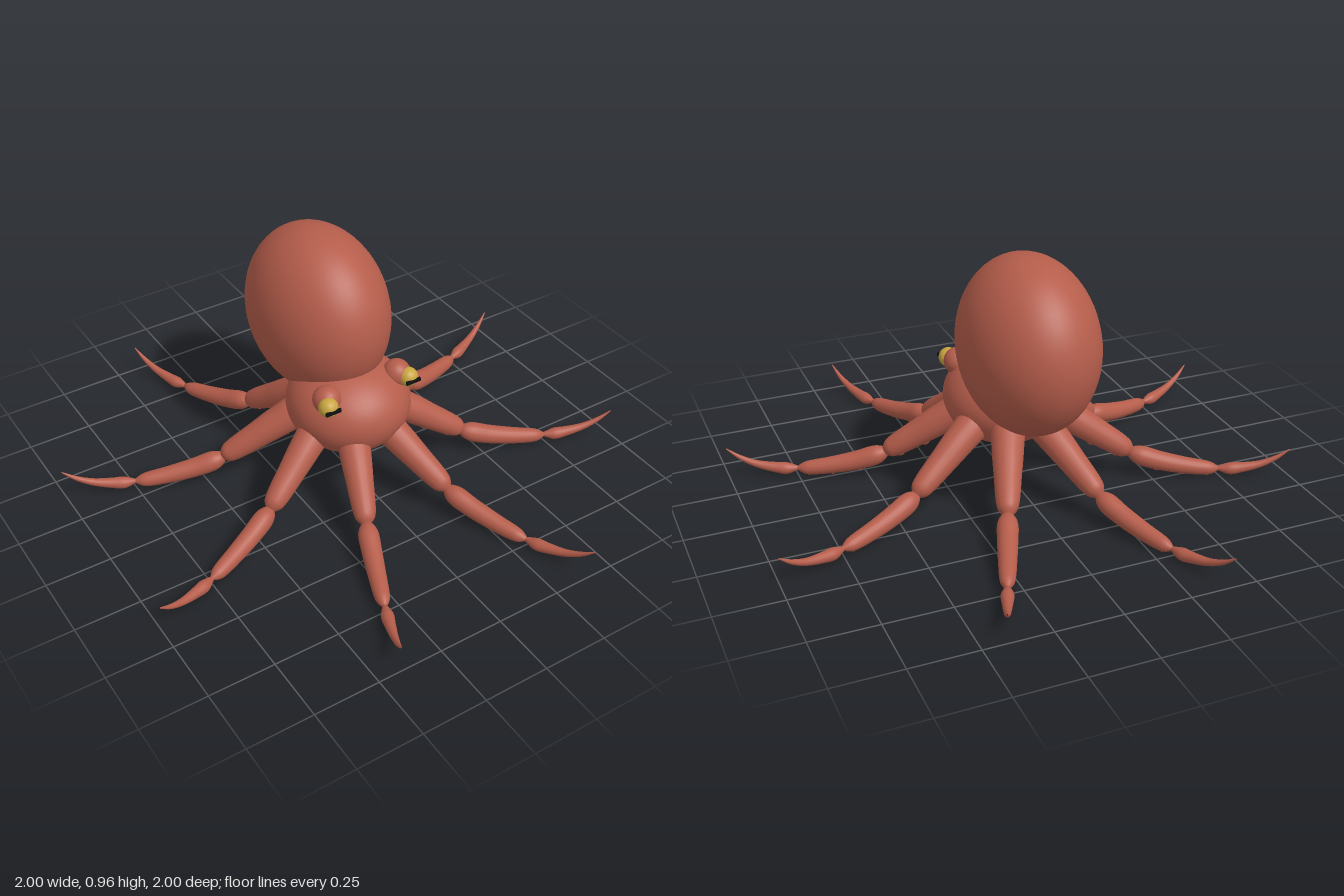
import * as THREE from 'three';

const skin = new THREE.MeshStandardMaterial({ color: 0xb55d4b });
skin.name = 'skin red';
const gold = new THREE.MeshStandardMaterial({ color: 0xc9a540 });
gold.name = 'eye gold';
const black = new THREE.MeshStandardMaterial({ color: 0x111111 });
black.name = 'pupil black';

function add(parent, name, geometry, material, x = 0, y = 0, z = 0) {
  const mesh = new THREE.Mesh(geometry, material);
  mesh.name = name;
  mesh.position.set(x, y, z);
  parent.add(mesh);
  return mesh;
}

// Arm sections as [distance outward, height, thickness radius]
const sections = {
  upperArm: [[0.11, 0.315, 0.004], [0.125, 0.312, 0.04], [0.17, 0.292, 0.061], [0.25, 0.245, 0.059],
    [0.34, 0.187, 0.051], [0.43, 0.13, 0.042], [0.455, 0.114, 0.034], [0.476, 0.1, 0.012]],
  middleArm: [[0.462, 0.108, 0.01], [0.477, 0.1, 0.025], [0.505, 0.088, 0.037], [0.58, 0.064, 0.037],
    [0.68, 0.043, 0.033], [0.77, 0.031, 0.027], [0.79, 0.03, 0.021], [0.815, 0.03, 0.006]],
  armTip: [[0.805, 0.03, 0.006], [0.825, 0.029, 0.014], [0.855, 0.028, 0.023], [0.9, 0.033, 0.02],
    [0.97, 0.048, 0.014], [1.03, 0.075, 0.009], [1.082, 0.112, 0.002]],
};

// Tapered tube in the local yz plane, running outward along +z
function taperedTube(points, rings = 36, sides = 20) {
  const curve = new THREE.CatmullRomCurve3(points.map((p) => new THREE.Vector3(...p)));
  const positions = [];
  const indices = [];
  for (let i = 0; i <= rings; i++) {
    const p = curve.getPoint(i / rings);
    const t = curve.getTangent(i / rings);
    const len = Math.hypot(t.x, t.y) || 1;
    const tz = t.x / len, ty = t.y / len;
    for (let j = 0; j < sides; j++) {
      const a = (j / sides) * Math.PI * 2;
      const up = Math.sin(a) * p.z;
      positions.push(Math.cos(a) * p.z, p.y + up * tz, p.x - up * ty);
      if (i === rings) continue;
      const k = (j + 1) % sides;
      const A = i * sides + j, B = i * sides + k;
      indices.push(A, B, A + sides, B, B + sides, A + sides);
    }
  }
  const geometry = new THREE.BufferGeometry();
  geometry.setAttribute('position', new THREE.Float32BufferAttribute(positions, 3));
  geometry.setIndex(indices);
  geometry.computeVertexNormals();
  return geometry;
}

export function createModel() {
  const model = new THREE.Group();
  model.name = 'octopus';
  const ball = new THREE.SphereGeometry(1, 48, 32);

  // Body
  add(model, 'mantle', ball, skin, 0, 0.632, -0.185).scale.set(0.25, 0.333, 0.333);
  add(model, 'head', ball, skin, 0, 0.34, 0.03).scale.set(0.235, 0.178, 0.24);

  // Eyes
  for (const side of [1, -1]) {
    const eye = new THREE.Group();
    eye.name = side > 0 ? 'leftEye' : 'rightEye';
    add(eye, 'eyeMound', ball, skin, side * 0.153, 0.46, 0.125).scale.setScalar(0.053);
    add(eye, 'eyeball', ball, gold, side * 0.174, 0.46, 0.17).scale.setScalar(0.037);
    add(eye, 'pupil', new THREE.BoxGeometry(0.062, 0.014, 0.009), black, side * 0.174, 0.46, 0.205);
    model.add(eye);
  }

  // Eight arms, evenly spread
  const tubes = Object.entries(sections).map(([name, pts]) => [name, taperedTube(pts)]);
  const sucker = new THREE.CylinderGeometry(0.3, 0.24, 0.12, 12);
  for (let n = 0; n < 8; n++) {
    const arm = new THREE.Group();
    arm.name = `arm${n + 1}`;
    arm.rotation.y = ((n + 0.5) * Math.PI) / 4;
    for (const [name, geometry] of tubes) add(arm, name, geometry, skin);
    // Small suckers under the two thicker sections
    for (const pts of [sections.upperArm, sections.middleArm]) {
      for (let i = 3; i < 6; i++) {
        const [r, y, rad] = pts[i];
        const slope = Math.atan2(pts[i - 1][1] - pts[i + 1][1], pts[i + 1][0] - pts[i - 1][0]);
        const disc = add(arm, 'sucker', sucker, skin,
          0, y - rad * Math.cos(slope), r - rad * Math.sin(slope));
        disc.rotation.x = slope;
        disc.scale.setScalar(rad * 1.2);
      }
    }
    model.add(arm);
  }
  return model;
}
